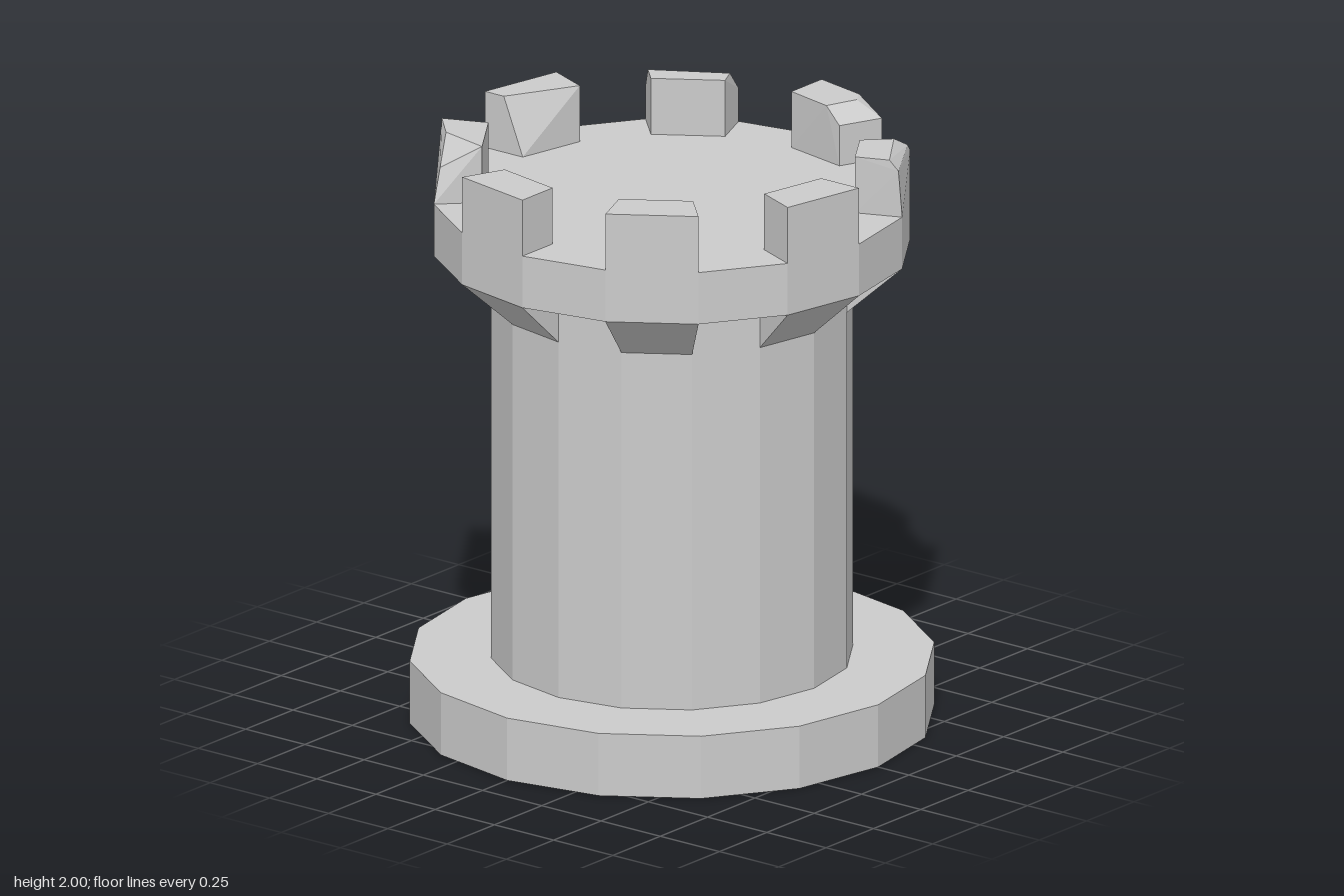
import * as THREE from 'three';
import { ConvexGeometry } from 'three/addons/geometries/ConvexGeometry.js';

const SIDES = 16, STEP = (Math.PI * 2) / SIDES;
const BASE_R = 0.87, SHAFT_R = 0.6, CROWN_R = 0.79, INNER_R = 0.63;
const BASE_TOP = 0.217, CORBEL_Y = 1.455, CROWN_Y = 1.625, FLOOR_Y = 1.805, TOP_Y = 2;

const material = new THREE.MeshStandardMaterial({ color: 0xcccccc, flatShading: true });

// Point on the 16-sided ring: corner k, counted from +x towards +z
const ring = (k, r, y) => new THREE.Vector3(r * Math.cos(k * STEP), y, r * Math.sin(k * STEP));
const at = (x, z, y = TOP_Y) => new THREE.Vector3(x, y, z);

function add(parent, name, geometry) {
  const mesh = new THREE.Mesh(geometry, material);
  mesh.name = name;
  parent.add(mesh);
}

function drum(parent, name, r, y0, y1) {
  const g = new THREE.CylinderGeometry(r, r, y1 - y0, SIDES);
  g.translate(0, (y0 + y1) / 2, 0);
  add(parent, name, g);
}

// Upper corners of the chipped merlons; the others are plain blocks
const chippedTops = {
  // end chamfer
  0: [ring(0, CROWN_R, TOP_Y), ring(0, INNER_R, TOP_Y), at(0.59, 0.18), at(0.70, 0.22), at(0.75, 0.19),
    ring(1, INNER_R, 1.945), ring(1, CROWN_R, 1.945)],
  // outer chamfer and sloping end
  1: [at(0.24, 0.58), at(0.385, 0.485), at(0.465, 0.565), at(0.285, 0.69),
    at(0.295, 0.72, 1.965), at(0.525, 0.575, 1.965), ring(2, CROWN_R, 1.935), ring(2, INNER_R, 1.935)],
  // broken outer corner
  5: [ring(10, INNER_R, TOP_Y), ring(11, INNER_R, TOP_Y), ring(11, CROWN_R, TOP_Y),
    at(-0.405, -0.63), at(-0.515, -0.567, 1.92)],
  // broken inner corner
  6: [ring(12, CROWN_R, TOP_Y), ring(13, CROWN_R, TOP_Y), ring(13, INNER_R, TOP_Y),
    at(0.135, -0.675), at(0, -0.71)],
  // worn outer edge
  7: [ring(14, INNER_R, TOP_Y), ring(15, INNER_R, TOP_Y), at(0.51, -0.51), at(0.65, -0.275),
    ring(14, CROWN_R, 1.92), ring(15, CROWN_R, 1.92)],
};

// The four corners of one wall segment at height y
const segment = (k, y) => [ring(k, CROWN_R, y), ring(k + 1, CROWN_R, y), ring(k, INNER_R, y), ring(k + 1, INNER_R, y)];

export function createModel() {
  const tower = new THREE.Group();
  tower.name = 'tower';

  drum(tower, 'base', BASE_R, 0, BASE_TOP);
  drum(tower, 'shaft', SHAFT_R, BASE_TOP, CROWN_Y);
  drum(tower, 'crown', CROWN_R, CROWN_Y, FLOOR_Y);

  const merlons = new THREE.Group();
  merlons.name = 'merlons';
  const corbels = new THREE.Group();
  corbels.name = 'corbels';
  tower.add(merlons, corbels);

  // A merlon above and a wedge corbel below every second side
  for (let i = 0; i < SIDES / 2; i++) {
    const k = i * 2;
    const top = chippedTops[i] ?? segment(k, TOP_Y);
    add(merlons, 'merlon' + (i + 1), new ConvexGeometry([...segment(k, FLOOR_Y), ...top]));

    const wedge = [k, k + 1].flatMap((c) => [
      ring(c, SHAFT_R, CORBEL_Y), ring(c, SHAFT_R, CROWN_Y), ring(c, CROWN_R, CROWN_Y),
    ]);
    add(corbels, 'corbel' + (i + 1), new ConvexGeometry(wedge));
  }
  return tower;
}
